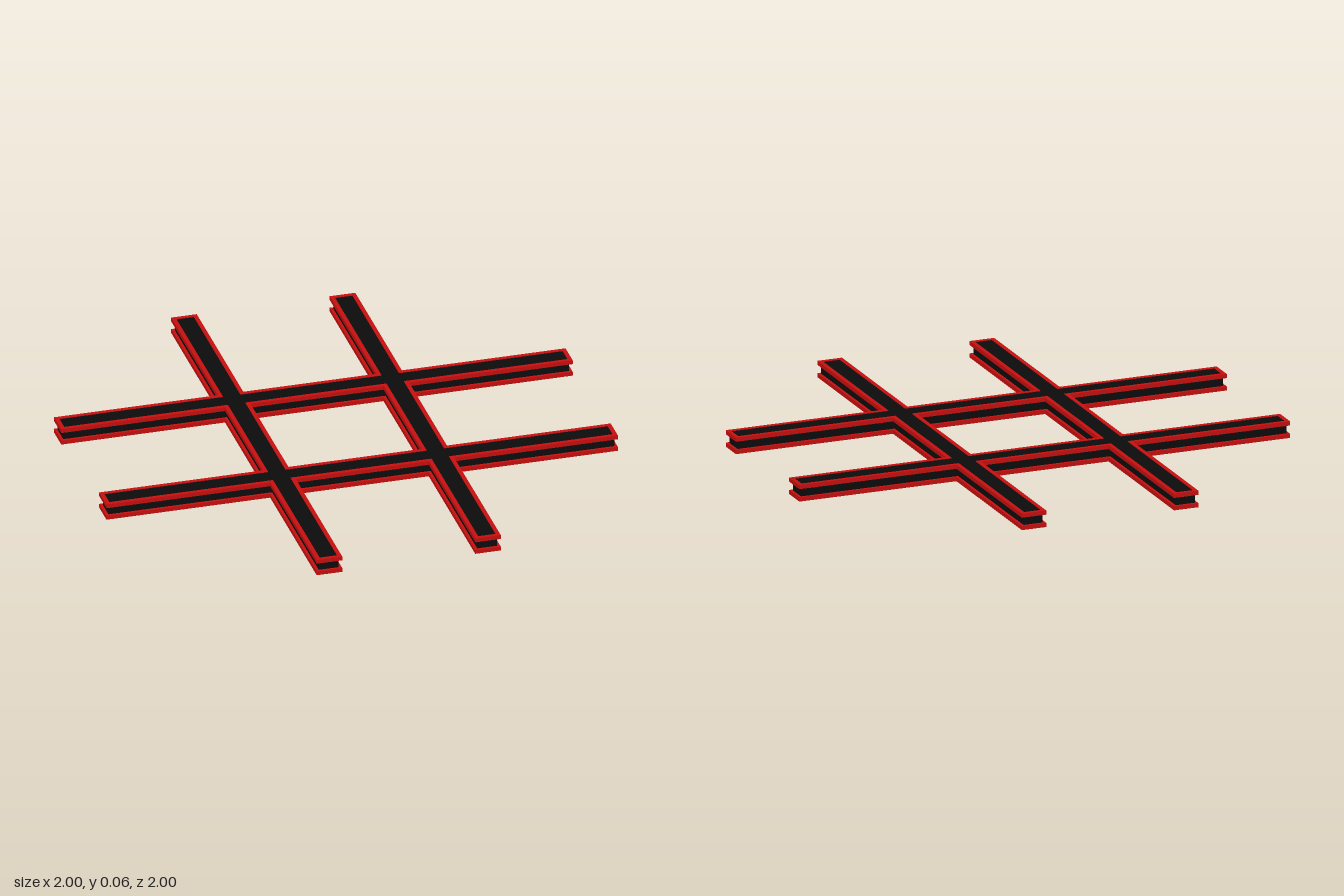
import * as THREE from 'three';

const OUTER = 0.36, INNER = 0.26, END = 1, HEIGHT = 0.065;
const TRIM_WIDTH = 0.016, TRIM_HEIGHT = 0.016;

// Outline of two crossing pairs of bars, pulled in by d on every side
function gridOutline(d) {
  const o = OUTER - d, i = INNER + d, e = END - d;
  const side = [[o, o], [o, e], [i, e], [i, o], [-i, o], [-i, e], [-o, e]];
  const points = [];
  for (let k = 0; k < 4; k++) {
    for (const [x, y] of side) {
      points.push(new THREE.Vector2(x, y).rotateAround(new THREE.Vector2(), k * Math.PI / 2));
    }
  }
  return points;
}

// Square window in the middle with half-size s
function square(s) {
  return [[s, s], [-s, s], [-s, -s], [s, -s]].map(([x, y]) => new THREE.Vector2(x, y));
}

// Flat plate lying on y = bottom
function plate(name, outline, hole, bottom, height, material) {
  const shape = new THREE.Shape(outline);
  shape.holes.push(new THREE.Path(hole));
  const geometry = new THREE.ExtrudeGeometry(shape, { depth: height, bevelEnabled: false });
  geometry.rotateX(-Math.PI / 2);
  geometry.translate(0, bottom, 0);
  const mesh = new THREE.Mesh(geometry, material);
  mesh.name = name;
  return mesh;
}

export function createModel() {
  const group = new THREE.Group();
  group.name = 'crossedBarGrid';
  const black = new THREE.MeshStandardMaterial({ color: 0x0c0c0c });
  const red = new THREE.MeshStandardMaterial({ color: 0xc80f0f });

  // Recessed dark core of the four bars
  group.add(plate('barCore', gridOutline(0.011), square(INNER + 0.011), 0.002, HEIGHT - 0.004, black));

  // Red trim along the lower and upper edges
  for (const [level, y] of [['lower', 0], ['upper', HEIGHT - TRIM_HEIGHT]]) {
    group.add(plate(level + 'OuterTrim', gridOutline(0), gridOutline(TRIM_WIDTH), y, TRIM_HEIGHT, red));
    group.add(plate(level + 'WindowTrim', square(INNER + TRIM_WIDTH), square(INNER), y, TRIM_HEIGHT, red));
  }
  return group;
}
